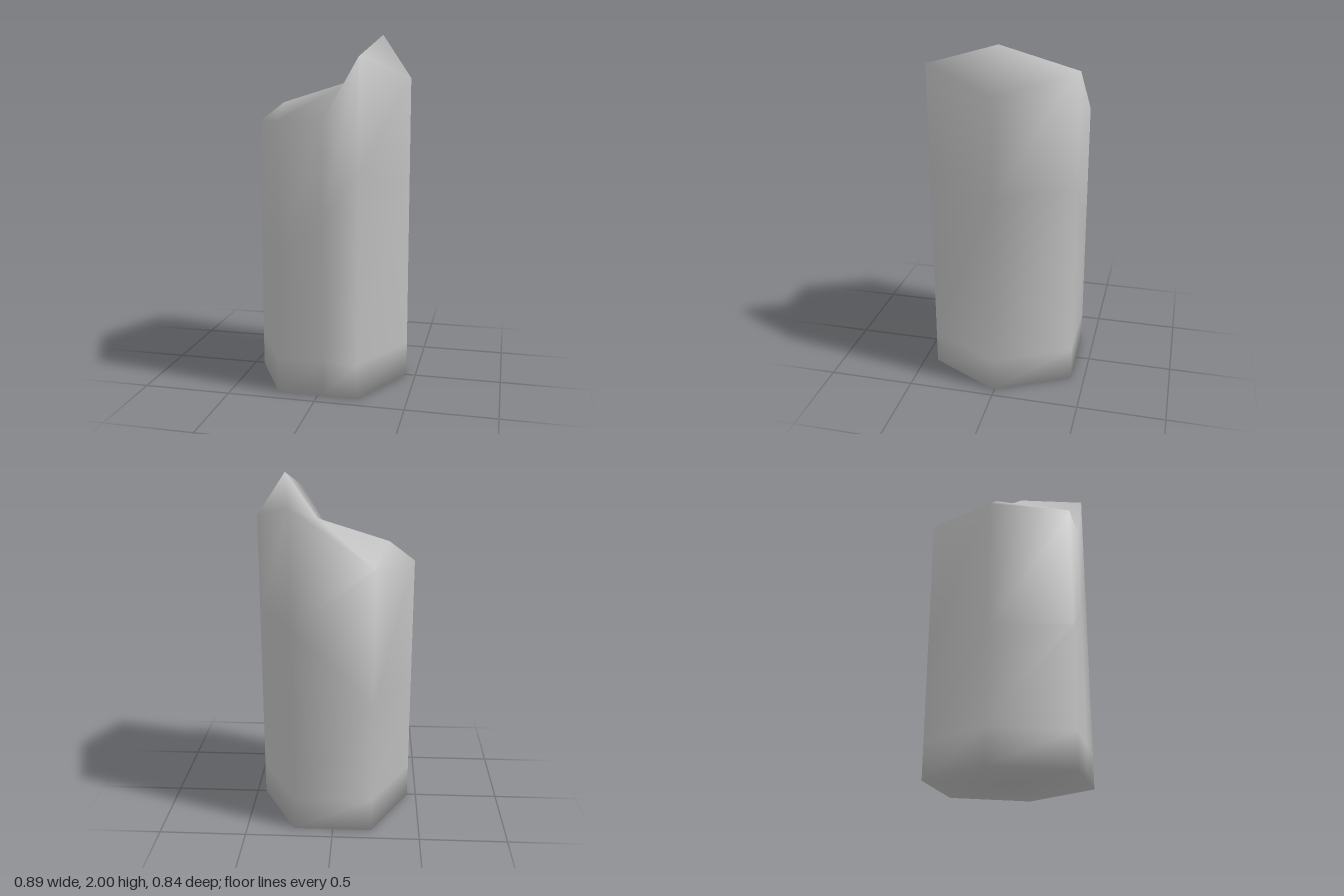
import * as THREE from 'three';

// Column edges, clockwise from above: x, z, then heights of middle ring and rim
const columns = [
  [0.447, 0, 1.2, 1.76],
  [0.225, 0.42, 1.27, 1.87],
  [0.03, 0.42, 1.0, 1.53], // front notch
  [-0.225, 0.42, 0.8, 1.53],
  [-0.447, 0, 0.75, 1.51],
  [-0.225, -0.42, 0.78, 1.555],
  [0.225, -0.42, 1.22, 1.87],
];
// Ridge across the broken top: peak, step, low shoulder
const ridge = [[0.285, 2, 0], [0.105, 1.745, 0], [-0.3, 1.62, 0]];

function crystalGeometry() {
  const n = columns.length;
  const positions = [];
  const index = [];
  const heights = [() => 0, () => 0.2, (c) => c[2], (c) => c[3]];
  for (const h of heights) for (const c of columns) positions.push(c[0], h(c), c[1]);

  // Hexagonal walls
  for (let r = 0; r < heights.length - 1; r++) {
    for (let i = 0; i < n; i++) {
      const a = r * n + i, b = r * n + (i + 1) % n;
      index.push(a, a + n, b, b, a + n, b + n);
    }
  }

  // Flat base
  const base = positions.length / 3;
  positions.push(0, 0, 0);
  for (let i = 0; i < n; i++) index.push(base, i, (i + 1) % n);

  // Jagged top facets between the rim (R) and the ridge
  const K = base + 1, P = K + 1, A = K + 2;
  ridge.forEach((p) => positions.push(...p));
  const R = columns.map((_, i) => (heights.length - 1) * n + i);
  index.push(
    K, R[1], R[0], K, R[2], R[1], P, R[2], K, P, R[3], R[2], A, R[3], P,
    A, R[4], R[3], A, R[5], R[4], P, R[5], A, P, R[6], R[5], K, R[6], P, K, R[0], R[6]
  );

  const g = new THREE.BufferGeometry();
  g.setAttribute('position', new THREE.Float32BufferAttribute(positions, 3));
  g.setIndex(index);
  g.computeVertexNormals();
  return g;
}

export function createModel() {
  const group = new THREE.Group();
  group.name = 'brokenColumn';
  const stone = new THREE.MeshStandardMaterial({ color: 0xbfbfbf });
  stone.name = 'grey stone';
  const column = new THREE.Mesh(crystalGeometry(), stone);
  column.name = 'hexagonalColumn';
  group.add(column);
  return group;
}
